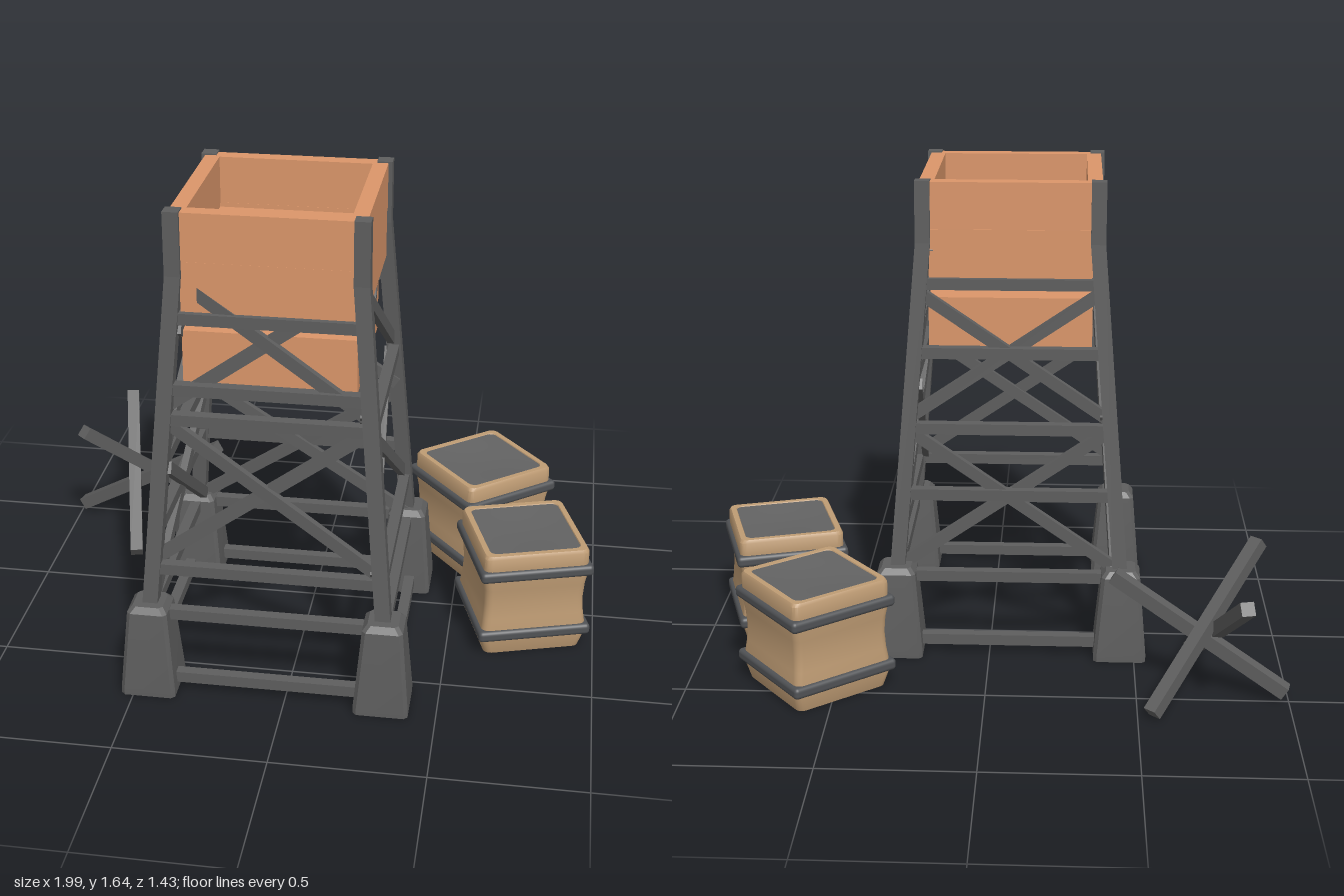
import * as THREE from 'three';
import { toCreasedNormals } from 'three/addons/utils/BufferGeometryUtils.js';
import { RoundedBoxGeometry } from 'three/addons/geometries/RoundedBoxGeometry.js';

const mat = (name, color) => Object.assign(new THREE.MeshStandardMaterial({ color }), { name });
const steel = mat('steel', 0x5e5e5e);
const orange = mat('orange panel', 0xdb966a);
const tan = mat('crate tan', 0xbf9c74);
const strap = mat('strap grey', 0x505255);
const lidGrey = mat('lid grey', 0x636363);

function add(parent, name, geo, material, x = 0, y = 0, z = 0) {
  const mesh = new THREE.Mesh(geo, material);
  mesh.name = name;
  mesh.position.set(x, y, z);
  parent.add(mesh);
  return mesh;
}

// Square bar between two points
function bar(parent, name, a, b, w, d = w) {
  const p = new THREE.Vector3(...a), q = new THREE.Vector3(...b);
  const mesh = add(parent, name, new THREE.BoxGeometry(d, w, p.distanceTo(q)), steel);
  mesh.position.copy(p).add(q).multiplyScalar(0.5);
  mesh.quaternion.setFromRotationMatrix(
    new THREE.Matrix4().lookAt(q, p, new THREE.Vector3(0, 1, 0)));
  return mesh;
}

// Stack of rounded squares, rows are [height, half width]
function loft(rows, radius, seg, crease) {
  const pos = [], idx = [], n = 4 * (seg + 1);
  for (const [y, half] of rows) {
    const r = Math.min(radius, half);
    for (let c = 0; c < 4; c++) {
      const mid = Math.PI / 4 + c * Math.PI / 2;
      for (let s = 0; s <= seg; s++) {
        const t = (c + s / seg) * Math.PI / 2;
        pos.push(Math.sign(Math.cos(mid)) * (half - r) + r * Math.cos(t), y,
          Math.sign(Math.sin(mid)) * (half - r) + r * Math.sin(t));
      }
    }
  }
  for (let i = 0; i < rows.length - 1; i++) {
    for (let j = 0; j < n; j++) {
      const a = i * n + j, b = i * n + (j + 1) % n;
      idx.push(a, a + n, b, b, a + n, b + n);
    }
  }
  const geo = new THREE.BufferGeometry();
  geo.setAttribute('position', new THREE.Float32BufferAttribute(pos, 3));
  geo.setIndex(idx);
  return toCreasedNormals(geo, crease);
}

// Distance of the leg axis from the tower axis at a height
const spread = y => y > 1.43 ? 0.29 : 0.383 - (y - 0.3) * 0.0823;

// Axis aligned leg piece leaning towards the tower axis
function legPiece(y0, y1, sx, sz) {
  const geo = new THREE.BoxGeometry(0.05, y1 - y0, 0.05);
  const p = geo.attributes.position;
  for (let i = 0; i < p.count; i++) {
    const y = p.getY(i) + (y0 + y1) / 2, s = spread(y);
    p.setXYZ(i, p.getX(i) + sx * s, y, p.getZ(i) + sz * s);
  }
  geo.computeVertexNormals();
  return geo;
}

function createTower() {
  const tower = new THREE.Group();
  tower.name = 'tower';

  // Corner legs on tapered feet
  const footGeo = loft([[0, 0], [0, 0.09], [0.025, 0.09], [0.3, 0.066], [0.32, 0.05], [0.32, 0]], 0.012, 1, 0.4);
  for (const sx of [-1, 1]) for (const sz of [-1, 1]) {
    add(tower, 'foot', footGeo, steel, sx * 0.385, 0, sz * 0.385);
    add(tower, 'leg', legPiece(0.28, 1.43, sx, sz), steel);
    add(tower, 'legTop', legPiece(1.43, 1.637, sx, sz), steel);
  }

  // Four sides, the front and left braced at other levels than the back and right
  for (let k = 0; k < 4; k++) {
    const side = new THREE.Group();
    side.name = 'towerSide';
    side.rotation.y = k * Math.PI / 2;
    tower.add(side);

    const levels = [0.05, 0.28, ...(k < 2 ? [0.44, 0.96] : [0.57, 0.8])];
    if (k % 2 === 0) levels.push(1.06, 1.293);
    for (const y of levels) {
      add(side, 'crossBeam', new THREE.BoxGeometry(2 * spread(y), 0.038, 0.036), steel, 0, y, spread(y));
    }
    for (const [y0, y1] of k < 2 ? [[0.46, 0.95], [0.99, 1.42]] : [[0.3, 0.79], [0.83, 1.26]]) {
      for (const s of [-1, 1]) {
        const off = 0.015 + s * 0.008;
        bar(side, 'diagonalBrace', [-s * spread(y0), y0, spread(y0) - off],
          [s * spread(y1), y1, spread(y1) - off], 0.04, 0.024);
      }
    }
    // Two boards around the top
    add(side, 'upperBoard', new THREE.BoxGeometry(0.54, 0.157, 0.05), orange, 0, 1.554, 0.277);
    add(side, 'lowerBoard', new THREE.BoxGeometry(0.54, 0.163, 0.046), orange, 0, 1.393, 0.277);
  }

  // Platform floor and the lower deck
  add(tower, 'platformFloor', new THREE.BoxGeometry(0.55, 0.19, 0.55), orange, 0, 1.365, 0);
  add(tower, 'lowerDeck', new THREE.BoxGeometry(0.55, 0.185, 0.55), orange, 0, 1.146, 0);
  add(tower, 'lowerDeckBase', new THREE.BoxGeometry(0.54, 0.01, 0.54), orange, 0, 1.051, 0);
  return tower;
}

function createCrate() {
  const crate = new THREE.Group();
  crate.name = 'crate';
  // Bulging body with a raised rim
  const body = loft([[0, 0], [0, 0.168], [0.055, 0.182], [0.095, 0.182], [0.14, 0.176], [0.195, 0.173],
    [0.25, 0.176], [0.29, 0.182], [0.335, 0.182], [0.375, 0.182], [0.386, 0.176], [0.386, 0.158],
    [0.372, 0.152], [0.372, 0]], 0.025, 4, 0.7);
  add(crate, 'crateBody', body, tan);
  for (const y of [0.078, 0.31]) {
    add(crate, 'crateStrap', new RoundedBoxGeometry(0.39, 0.04, 0.39, 3, 0.014), strap, 0, y, 0);
  }
  // Slightly sagging lid
  const lid = new THREE.PlaneGeometry(0.312, 0.312, 8, 8).rotateX(-Math.PI / 2);
  const p = lid.attributes.position;
  for (let i = 0; i < p.count; i++) {
    const sag = Math.cos(p.getX(i) * 10) * Math.cos(p.getZ(i) * 10);
    p.setY(i, 0.383 - 0.008 * sag);
  }
  lid.computeVertexNormals();
  add(crate, 'crateLid', lid, lidGrey);
  return crate;
}

function createBarricade() {
  const barricade = new THREE.Group();
  barricade.name = 'barricade';
  const ends = [
    [[-0.99, 0.03, -0.49], [-0.42, 0.38, -0.36]],
    [[-0.83, 0.42, -0.7], [-0.7, 0.02, -0.155]],
    [[-0.905, 0.465, -0.25], [-0.545, 0.02, -0.64]],
  ];
  for (const [a, b] of ends) bar(barricade, 'barricadeBeam', a, b, 0.045);
  return barricade;
}

export function createModel() {
  const model = new THREE.Group();
  model.name = 'watchtower';

  const tower = createTower();
  tower.position.set(-0.065, 0, 0.238);
  model.add(tower);

  for (const [x, z, turn] of [[0.57, -0.41, -0.89], [0.745, 0.085, 0.3]]) {
    const crate = createCrate();
    crate.position.set(x, 0, z);
    crate.rotation.y = turn;
    model.add(crate);
  }

  model.add(createBarricade());
  return model;
}
